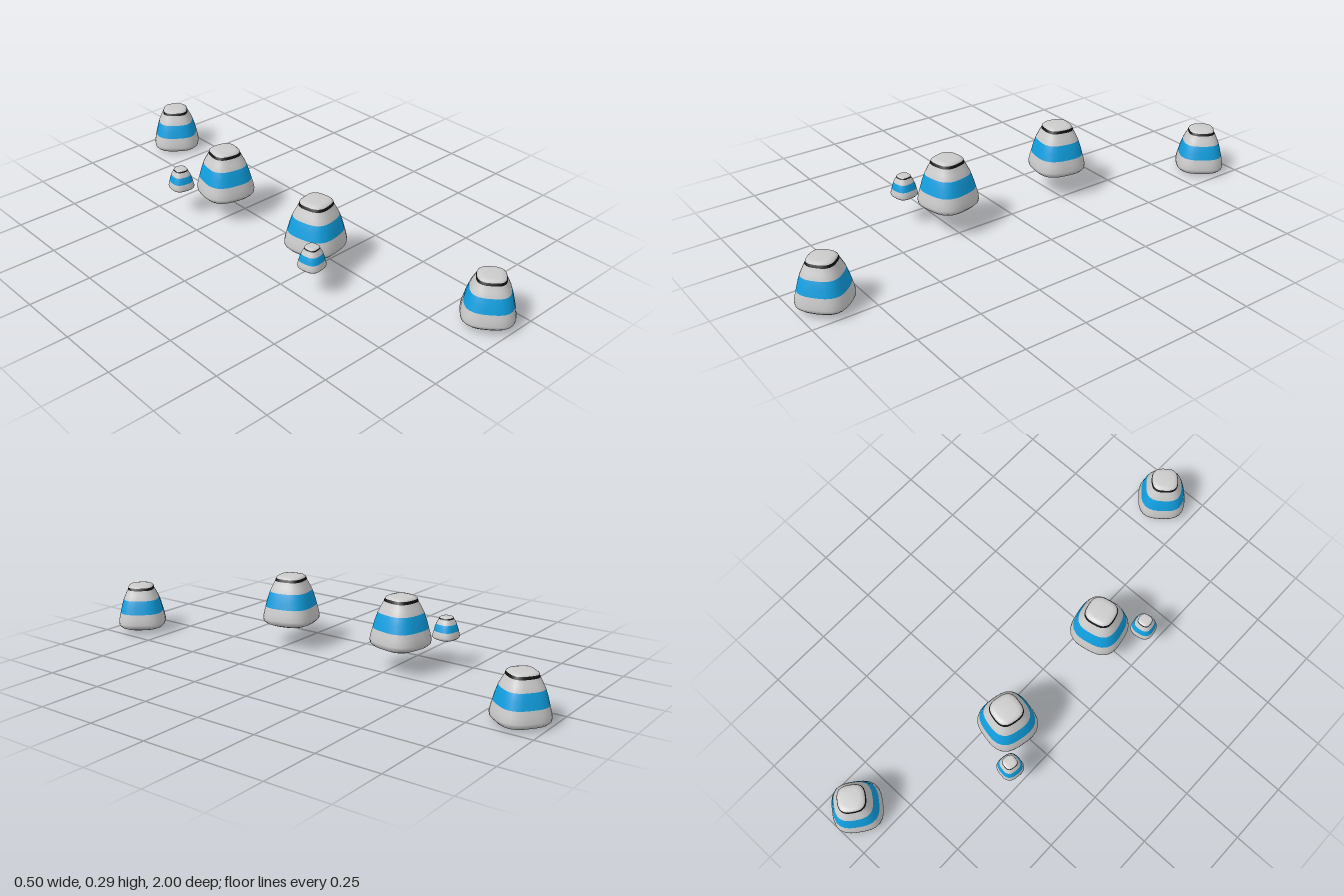
import * as THREE from 'three';
import { mergeVertices } from 'three/addons/utils/BufferGeometryUtils.js';

const SEGMENTS = 32;
const SQUARENESS = 2.9; // superellipse exponent of the plan outline

// Profile of a unit-high pod: [relative half width, height, band that starts here]
const PROFILE = [
  [0, 0, 'lowerBody'], [0.5, 0, 'lowerBody'], [0.72, 0.01, 'lowerBody'],
  [0.89, 0.05, 'lowerBody'], [0.985, 0.1, 'lowerBody'], [1, 0.16, 'lowerBody'],
  [0.96, 0.28, 'lowerBody'],
  [0.905, 0.39, 'blueBand'], [0.835, 0.54, 'blueBand'],
  [0.745, 0.69, 'upperBody'], [0.65, 0.8, 'upperBody'],
  [0.555, 0.9, 'blackRing'],
  [0.525, 0.955, 'cap'], [0.46, 0.985, 'cap'], [0.33, 1, 'cap'], [0, 1, null],
];
const HALF_WIDTH = 0.52;

const grey = new THREE.MeshStandardMaterial({ color: 0xcccccc });
const MATERIALS = {
  lowerBody: grey,
  upperBody: grey,
  cap: grey,
  blueBand: new THREE.MeshStandardMaterial({ color: 0x109fe0 }),
  blackRing: new THREE.MeshStandardMaterial({ color: 0x101010 }),
};

// Lathe warped into a rounded square, then split into bands that share normals
function podBands() {
  const points = PROFILE.map(([r, y]) => new THREE.Vector2(r * HALF_WIDTH, y));
  let geo = new THREE.LatheGeometry(points, SEGMENTS);
  const pos = geo.attributes.position;
  for (let i = 0; i < pos.count; i++) {
    const x = pos.getX(i), z = pos.getZ(i);
    const r = Math.hypot(x, z);
    if (r < 1e-6) continue;
    const c = Math.abs(x / r), s = Math.abs(z / r);
    const k = (c ** SQUARENESS + s ** SQUARENESS) ** (-1 / SQUARENESS);
    pos.setXYZ(i, x * k, pos.getY(i), z * k);
  }
  geo.deleteAttribute('uv');
  geo.deleteAttribute('normal');
  geo = mergeVertices(geo, 1e-5);
  geo.computeVertexNormals();

  // Six indices per quad, running up the profile for each segment
  const index = Array.from(geo.index.array);
  const rows = PROFILE.length - 1;
  const bands = {};
  for (const name of Object.keys(MATERIALS)) {
    const band = new THREE.BufferGeometry();
    band.setAttribute('position', geo.attributes.position);
    band.setAttribute('normal', geo.attributes.normal);
    band.setIndex(index.filter((_, i) => PROFILE[Math.floor(i / 6) % rows][2] === name));
    bands[name] = band;
  }
  return bands;
}

function makePod(name, bands, [x, y, z], height, turn) {
  const pod = new THREE.Group();
  pod.name = name;
  for (const [part, geo] of Object.entries(bands)) {
    const mesh = new THREE.Mesh(geo, MATERIALS[part]);
    mesh.name = part;
    pod.add(mesh);
  }
  pod.position.set(x, y, z);
  pod.scale.setScalar(height);
  pod.rotation.y = turn;
  return pod;
}

export function createModel() {
  const model = new THREE.Group();
  model.name = 'bandedPods';
  const bands = podBands();
  model.add(
    makePod('frontOuterPod', bands, [0.143, 0.012, 0.892], 0.187, 0.7),
    makePod('backOuterPod', bands, [0.137, 0.002, -0.894], 0.187, -0.65),
    makePod('frontLargePod', bands, [-0.073, 0.09, 0.248], 0.203, 0.2),
    makePod('backLargePod', bands, [-0.073, 0.09, -0.28], 0.203, -0.2),
    makePod('frontSmallPod', bands, [-0.202, 0.112, 0.365], 0.091, 0.15),
    makePod('backSmallPod', bands, [-0.202, 0.112, -0.403], 0.091, -0.15),
  );
  return model;
}
